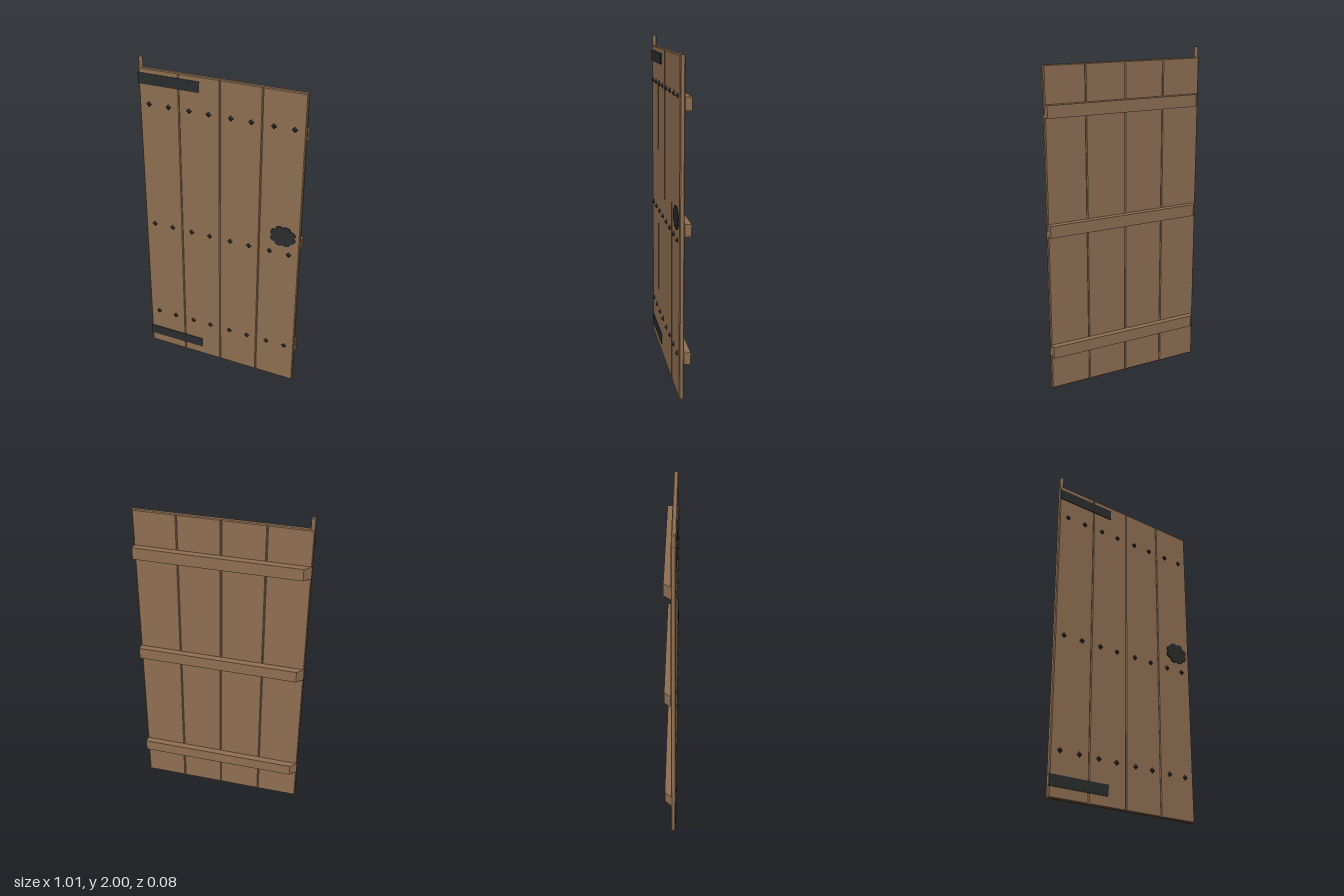
import * as THREE from 'three';

export function createModel() {
  const door = new THREE.Group();
  door.name = 'plankDoor';

  const wood = new THREE.MeshStandardMaterial({ color: 0x8f6f52 });
  wood.name = 'wood';
  const iron = new THREE.MeshStandardMaterial({ color: 0x2b2c2d });
  iron.name = 'iron';

  const add = (name, geometry, material, x = 0, y = 0, z = 0) => {
    const mesh = new THREE.Mesh(geometry, material);
    mesh.name = name;
    mesh.position.set(x, y, z);
    door.add(mesh);
    return mesh;
  };

  const BACK = -0.003, FRONT = 0.025, HEIGHT = 1.937, BEVEL = 0.005;

  // Four upright planks, chamfered all round so the seams read as V grooves
  const seams = [-0.504, -0.253, 0, 0.251, 0.503];
  for (let i = 0; i < 4; i++) {
    const [x0, x1] = [seams[i], seams[i + 1]];
    const face = new THREE.Shape([
      new THREE.Vector2(x0, 0), new THREE.Vector2(x1, 0),
      new THREE.Vector2(x1, HEIGHT), new THREE.Vector2(x0, HEIGHT),
    ]);
    const plank = new THREE.ExtrudeGeometry(face, {
      depth: FRONT - BACK - 2 * BEVEL, bevelEnabled: true, bevelSegments: 1,
      bevelThickness: BEVEL, bevelSize: BEVEL, bevelOffset: -BEVEL,
    });
    add('plank', plank, wood, 0, 0, BACK + BEVEL);
  }

  // Three cross battens on the back, cut at an angle on the hinge side
  const plan = new THREE.Shape([
    new THREE.Vector2(-0.504, 0.003), new THREE.Vector2(0.503, 0.003),
    new THREE.Vector2(0.503, 0.041), new THREE.Vector2(-0.465, 0.041),
  ]);
  const batten = new THREE.ExtrudeGeometry(plan, { depth: 0.072, bevelEnabled: false });
  batten.rotateX(-Math.PI / 2);
  for (const y of [0.214, 0.966, 1.65]) add('backBatten', batten, wood, 0, y, 0);

  // Hinge post standing out of the top corner
  add('hingePost', new THREE.CylinderGeometry(0.012, 0.012, 0.08, 8), wood, -0.491, 1.96, 0.011);

  // Iron hinge straps
  const strap = new THREE.BoxGeometry(0.382, 0.065, 0.006);
  for (const y of [0.093, 1.875]) add('hingeStrap', strap, iron, -0.315, y, 0.026);

  // Rows of pyramid studs
  const stud = new THREE.ConeGeometry(0.018, 0.016, 4).toNonIndexed();
  stud.rotateX(Math.PI / 2);
  stud.computeVertexNormals();
  const studX = [-0.444, -0.32, -0.19, -0.069, 0.066, 0.188, 0.32, 0.439];
  for (const y of [0.26, 0.934, 1.725])
    for (const x of studX) add('stud', stud, iron, x, y, 0.032);

  // Eight-lobed handle plate, slightly wider than tall
  const outline = [];
  for (let i = 0; i < 8; i++) {
    for (const [turn, r] of [[0, 0.84], [0.24, 0.98], [0.5, 1], [0.76, 0.98]]) {
      const a = (i + turn) * Math.PI / 4;
      outline.push(new THREE.Vector2(Math.cos(a) * r * 0.081, Math.sin(a) * r * 0.067));
    }
  }
  const plate = new THREE.ExtrudeGeometry(new THREE.Shape(outline), { depth: 0.008, bevelEnabled: false });
  add('handlePlate', plate, iron, 0.399, 1.051, 0.023);

  return door;
}
